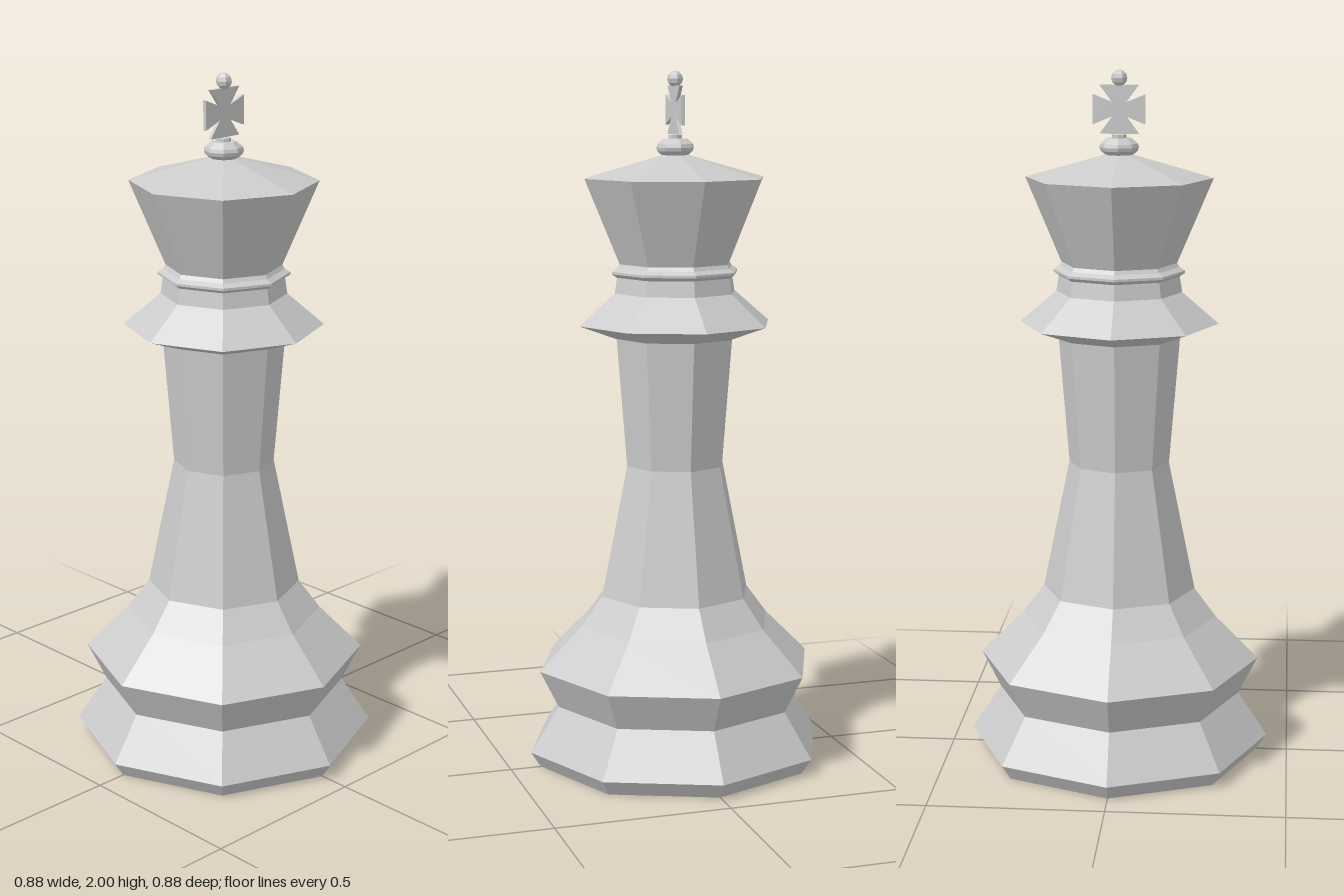
import * as THREE from 'three';

const material = new THREE.MeshStandardMaterial({ color: 0xcccccc, flatShading: true });

export function createModel() {
  const group = new THREE.Group();

  const add = (name, geometry) => {
    const mesh = new THREE.Mesh(geometry, material);
    mesh.name = name;
    group.add(mesh);
    return mesh;
  };

  // Faceted turned part from [radius, height] pairs, bottom to top
  const turned = (name, profile, sides = 8) =>
    add(name, new THREE.LatheGeometry(profile.map(([r, y]) => new THREE.Vector2(r, y)), sides));

  // Stepped foot with a waist between two flares
  turned('base', [[0, 0], [0.41, 0], [0.44, 0.045], [0.355, 0.175], [0.41, 0.285], [0.285, 0.41], [0.222, 0.495]]);

  // Tapering column
  turned('column', [[0.222, 0.495], [0.145, 0.875], [0.175, 1.245]]);

  // Wide collar and the narrow ring above it
  turned('collar', [[0.175, 1.245], [0.285, 1.285], [0.18, 1.375]]);
  turned('neckRing', [[0.18, 1.375], [0.173, 1.42], [0.188, 1.43], [0.188, 1.437], [0.172, 1.447], [0.165, 1.458]]);

  // Flared crown with a low pointed roof
  turned('crown', [[0.165, 1.458], [0.267, 1.7], [0, 1.775]]);

  // Flattened button and short stem carrying the cross
  turned('finialButton', [[0, 1.758], [0.035, 1.76], [0.053, 1.775], [0.056, 1.785], [0.053, 1.795], [0.035, 1.81], [0, 1.811]]);
  turned('crossStem', [[0.02, 1.805], [0.02, 1.82], [0, 1.823]]);

  // Thin cross with flared arms
  const inner = 0.02, reach = 0.074, flareX = 0.042, flareY = 0.055, depth = 0.01;
  const cross = new THREE.Shape([
    [inner, inner], [flareY, 0.068], [-flareY, 0.068], [-inner, inner],
    [-reach, flareX], [-reach, -flareX], [-inner, -inner],
    [-flareY, -0.068], [flareY, -0.068], [inner, -inner],
    [reach, -flareX], [reach, flareX],
  ].map(([x, y]) => new THREE.Vector2(x, y)));
  add('cross', new THREE.ExtrudeGeometry(cross, { depth, bevelEnabled: false }))
    .position.set(0, 1.89, -depth / 2);

  // Small bead on top of the cross
  add('topBead', new THREE.SphereGeometry(0.023, 6, 6)).position.y = 1.977;

  return group;
}
